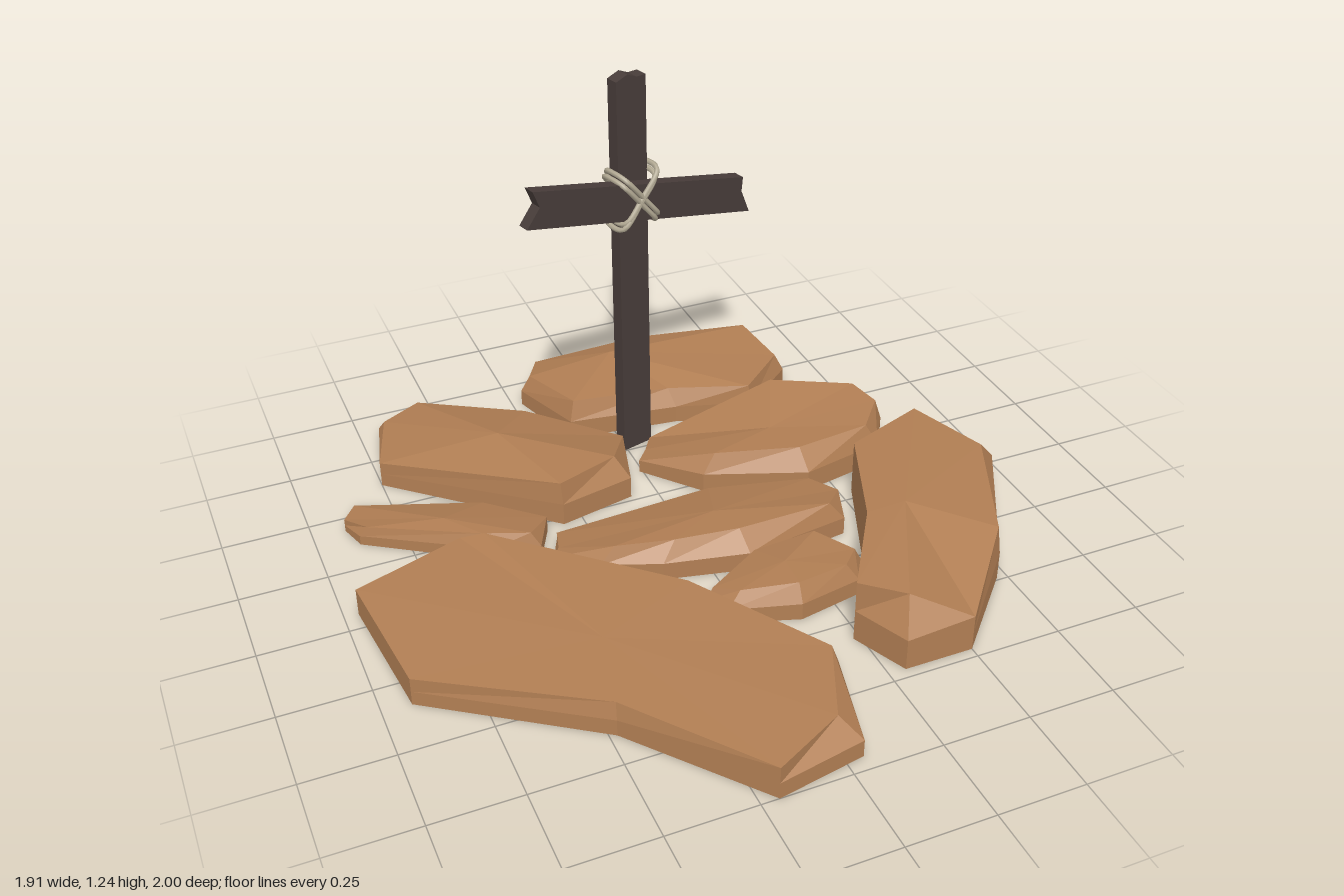
import * as THREE from 'three';

const stone = new THREE.MeshStandardMaterial({ color: 0xb27f54, side: THREE.DoubleSide });
stone.name = 'brown stone';
const wood = new THREE.MeshStandardMaterial({ color: 0x483d3a });
wood.name = 'dark wood';
const rope = new THREE.MeshStandardMaterial({ color: 0xb5ac96 });
rope.name = 'rope';

// Each rock: peak [x, z, height] and outline corners [x, z, top height, top inset toward the peak]
const ROCKS = {
  frontLeftSlab: { peak: [-0.42, 0.4, 0.1], rim: [
    [-0.96, -0.06, 0.085, 0], [-0.64, -0.18, 0.085, 0.02], [-0.57, -0.15, 0.095, 0], [-0.13, 0.28, 0.105, 0],
    [0.125, 0.67, 0.1, 0.03], [0.05, 0.955, 0.105, 0.1], [-0.2, 1, 0.1, 0], [-0.48, 0.65, 0.1, 0.05],
    [-0.92, 0.34, 0.085, 0]] },
  frontRightRock: { peak: [0.52, 0.3, 0.195], rim: [
    [0.8, -0.14, 0.165, 0], [0.955, 0.07, 0.165, 0.16], [0.72, 0.49, 0.175, 0.04], [0.5, 0.72, 0.11, 0],
    [0.3, 0.72, 0.19, 0.16], [0.23, 0.56, 0.19, 0], [0.4, 0.3, 0.19, 0], [0.54, -0.04, 0.17, 0]] },
  backRock: { peak: [0.08, -0.86, 0.137], rim: [
    [-0.13, -1, 0.07, 0], [0.22, -0.97, 0.1, 0], [0.58, -0.88, 0.115, 0.03], [0.61, -0.66, 0.11, 0.05],
    [0.43, -0.51, 0.12, 0.03], [0.2, -0.59, 0.11, 0.12], [-0.14, -0.63, 0.125, 0.08], [-0.22, -0.88, 0.1, 0.1]] },
  backLeftRock: { peak: [-0.4, -0.55, 0.14], rim: [
    [-0.55, -0.93, 0.06, 0], [-0.26, -0.72, 0.08, 0], [-0.02, -0.49, 0.065, 0], [-0.08, -0.27, 0.135, 0.12],
    [-0.31, -0.22, 0.14, 0.03], [-0.75, -0.62, 0.08, 0], [-0.69, -0.88, 0.06, 0.05]] },
  leftRock: { peak: [-0.65, -0.29, 0.075], rim: [
    [-0.86, -0.51, 0.03, 0], [-0.51, -0.37, 0.035, 0], [-0.365, -0.21, 0.05, 0], [-0.42, -0.1, 0.08, 0.1],
    [-0.55, -0.14, 0.08, 0.2], [-0.88, -0.36, 0.06, 0.1], [-0.905, -0.44, 0.04, 0]] },
  rightRock: { peak: [0.38, -0.28, 0.12], rim: [
    [0.06, -0.47, 0.05, 0], [0.48, -0.49, 0.145, 0], [0.73, -0.38, 0.14, 0.05], [0.755, -0.26, 0.14, 0.06],
    [0.68, -0.14, 0.135, 0.12], [0.42, -0.09, 0.13, 0.25], [0.13, -0.21, 0.12, 0.16], [-0.01, -0.38, 0.08, 0.05]] },
  middleRock: { peak: [0.06, 0.02, 0.105], rim: [
    [-0.36, -0.14, 0.04, 0], [0.12, -0.155, 0.05, 0], [0.41, -0.07, 0.06, 0], [0.45, 0.04, 0.08, 0],
    [0.42, 0.14, 0.11, 0.12], [0.1, 0.185, 0.115, 0.3], [-0.14, 0.13, 0.11, 0.22], [-0.3, 0.06, 0.1, 0.12],
    [-0.4, -0.05, 0.06, 0.03]] },
  smallRock: { peak: [0.15, 0.3, 0.1], rim: [
    [0.11, 0.19, 0.07, 0], [0.29, 0.2, 0.09, 0], [0.38, 0.32, 0.09, 0.1], [0.33, 0.4, 0.1, 0.18],
    [0.14, 0.435, 0.105, 0.22], [-0.05, 0.37, 0.09, 0.2], [-0.085, 0.3, 0.075, 0.08]] },
};

// Faceted rock shell, open underneath: ground ring, shoulder ring and inset top ring closed by a fan
function rockGeometry({ peak: [px, pz, ph], rim }) {
  const n = rim.length, pos = [], index = [];
  for (const [x, z] of rim) pos.push(x, 0, z);
  for (const [x, z, h] of rim) pos.push(x, h * 0.5, z);
  for (const [x, z, h, inset] of rim) pos.push(x + (px - x) * inset, h, z + (pz - z) * inset);
  pos.push(px, ph, pz);
  for (let i = 0; i < n; i++) {
    const j = (i + 1) % n;
    for (const r of [0, n]) {
      index.push(r + i, r + n + i, r + j, r + j, r + n + i, r + n + j);
    }
    index.push(3 * n, 2 * n + j, 2 * n + i);
  }
  const geo = new THREE.BufferGeometry();
  geo.setAttribute('position', new THREE.Float32BufferAttribute(pos, 3));
  geo.setIndex(index);
  const flat = geo.toNonIndexed();
  flat.computeVertexNormals();
  return flat;
}

// Flat board cut from an outline and centred on its thickness
function board(points, depth) {
  const shape = new THREE.Shape(points.map(([x, y]) => new THREE.Vector2(x, y)));
  const geo = new THREE.ExtrudeGeometry(shape, { depth, bevelEnabled: false });
  return geo.translate(0, 0, -depth / 2);
}

function add(parent, name, geo, material) {
  const mesh = new THREE.Mesh(geo, material);
  mesh.name = name;
  parent.add(mesh);
  return mesh;
}

export function createModel() {
  const model = new THREE.Group();
  model.name = 'rockGrave';

  const rocks = new THREE.Group();
  rocks.name = 'rocks';
  model.add(rocks);
  for (const [name, rock] of Object.entries(ROCKS)) add(rocks, name, rockGeometry(rock), stone);

  // Wooden cross, turned slightly about its post
  const cross = new THREE.Group();
  cross.name = 'woodenCross';
  cross.position.set(0.034, 0, -0.535);
  cross.rotation.y = 0.27;
  model.add(cross);

  add(cross, 'post', board([
    [-0.051, 0], [0.051, 0], [0.051, 1.222], [0.02, 1.222], [-0.012, 1.236], [-0.051, 1.222],
  ], 0.041), wood);

  // Sloping crossbeam with split ends
  const beam = add(cross, 'crossbeam', board([
    [-0.39, 0.04], [0.405, -0.15], [0.375, -0.075], [0.38, -0.03], [-0.366, 0.148], [-0.345, 0.095],
  ], 0.038), wood);
  beam.position.set(0.004, 0.85, 0.035);

  // Doubled rope lashing, crossing on the front and on the back
  const lashing = new THREE.Group();
  lashing.name = 'ropeLashing';
  lashing.position.set(-0.002, 0.866, 0.013);
  cross.add(lashing);
  for (const side of [-1, 1]) {
    for (const shift of [-0.008, 0.008]) {
      const path = [
        [-0.056, 0.046], [0, 0.052], [0.056, 0.046], [0.063, 0], [0.052, -0.05], [0, -0.066], [-0.052, -0.05], [-0.063, 0],
      ].map(([x, z]) => new THREE.Vector3(x + shift * 0.5, side * x * 1.2 + shift, z));
      const curve = new THREE.CatmullRomCurve3(path, true);
      add(lashing, 'ropeLoop', new THREE.TubeGeometry(curve, 40, 0.008, 6, true), rope);
    }
  }
  return model;
}
